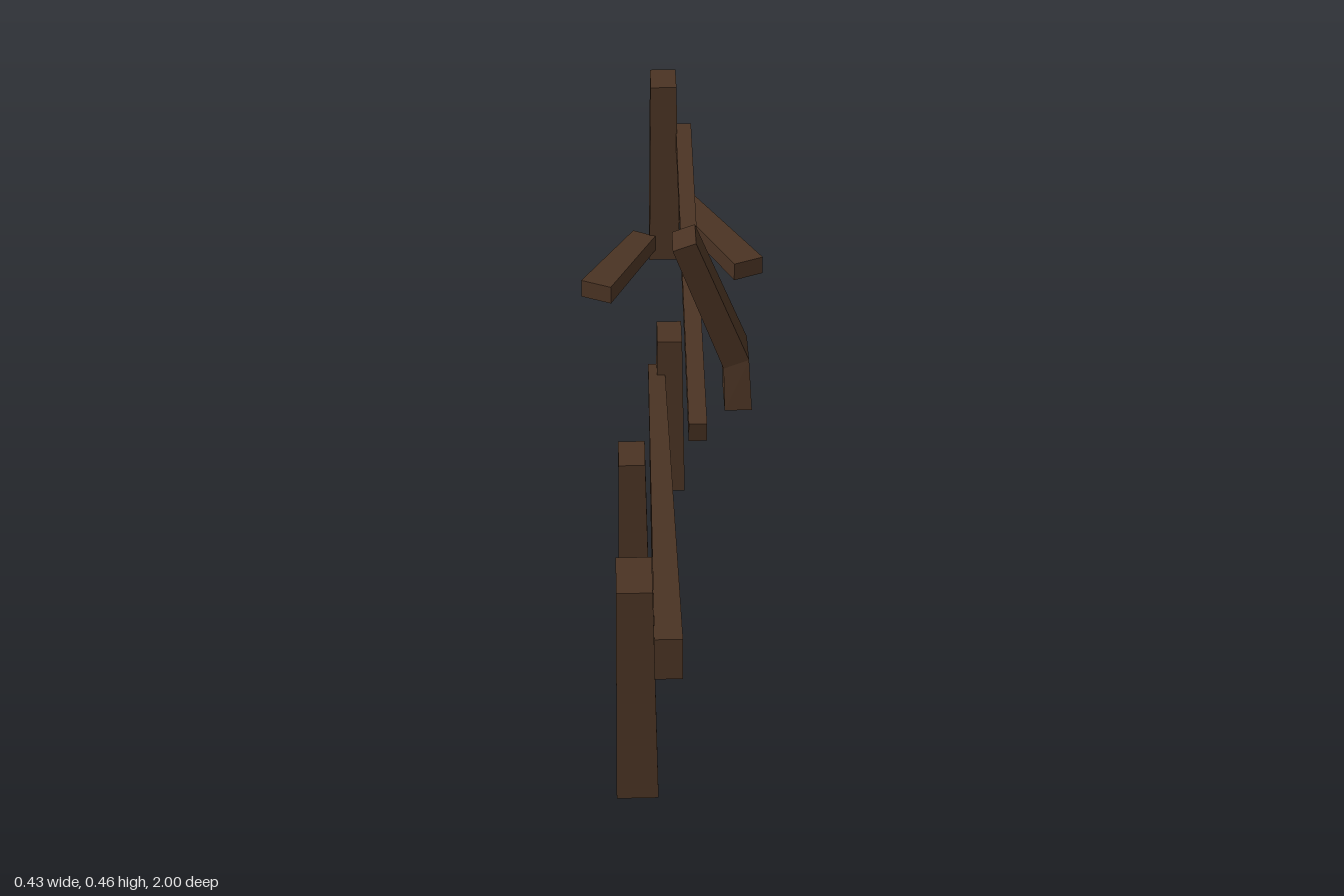
import * as THREE from 'three';

const wood = new THREE.MeshStandardMaterial({ color: 0x4a3323 });
wood.name = 'darkWood';

// Flat-faced beam through four-cornered sections, closed at both ends
function beam(name, rings) {
  const pos = [];
  const quad = (a, b, c, d) => pos.push(...a, ...b, ...c, ...a, ...c, ...d);
  for (let r = 0; r < rings.length - 1; r++) {
    const a = rings[r], b = rings[r + 1];
    for (let i = 0; i < 4; i++) {
      const j = (i + 1) % 4;
      quad(a[i], a[j], b[j], b[i]);
    }
  }
  const first = rings[0], last = rings[rings.length - 1];
  quad(first[3], first[2], first[1], first[0]);
  quad(...last);
  const geo = new THREE.BufferGeometry();
  geo.setAttribute('position', new THREE.Float32BufferAttribute(pos, 3));
  geo.computeVertexNormals();
  const mesh = new THREE.Mesh(geo, wood);
  mesh.name = name;
  return mesh;
}

// Horizontal section of a post; yl and yr allow a slanted cut
const level = (x0, x1, z0, z1, yl, yr = yl) =>
  [[x0, yl, z1], [x1, yr, z1], [x1, yr, z0], [x0, yl, z0]];

// Upright section of a rail; zl and zr allow an angled end, lean tips the top
const upright = (x0, x1, y0, y1, zl, zr = zl, lean = 0) =>
  [[x0, y0, zl], [x1, y0, zr], [x1, y1, zr + lean], [x0, y1, zl + lean]];

// Straight post, narrower at the top
function post(name, x, z, w, d, h) {
  const t = 0.82;
  return beam(name, [
    level(x - w / 2, x + w / 2, z - d / 2, z + d / 2, 0),
    level(x - w * t / 2, x + w * t / 2, z - d * t / 2, z + d * t / 2, h),
  ]);
}

export function createModel() {
  const fence = new THREE.Group();
  fence.name = 'brokenFence';

  // Standing posts
  fence.add(
    post('frontPost', -0.104, 0.945, 0.073, 0.11, 0.463),
    post('secondPost', -0.105, 0.493, 0.06, 0.09, 0.369),
    post('middlePost', -0.026, 0.094, 0.06, 0.09, 0.369),
    post('backPost', -0.018, -0.823, 0.073, 0.112, 0.463),
  );

  // Snapped post, leaning above its foot
  fence.add(beam('brokenPost', [
    level(0.1, 0.16, -0.235, -0.14, 0),
    level(0.097, 0.152, -0.241, -0.15, 0.105, 0.127),
    level(-0.014, 0.034, -0.17, -0.093, 0.441, 0.459),
  ]));

  // Rails, from back to front
  fence.add(
    beam('upperRail', [
      upright(-0.069, -0.036, 0.223, 0.288, 0.09),
      upright(-0.072, -0.024, 0.248, 0.338, 0.965),
    ]),
    beam('lowerRail', [
      upright(-0.068, -0.032, 0.053, 0.095, 0.09),
      upright(-0.071, -0.027, 0.102, 0.162, 0.617, 0.617, 0.008),
    ]),
    beam('slopingRail', [
      upright(0.011, 0.047, 0.306, 0.35, -0.822, -0.822, 0.01),
      upright(0.011, 0.048, 0.148, 0.198, 0.165, 0.165, 0.01),
    ]),
  );

  // Planks fallen beside the back post
  fence.add(
    beam('fallenPlankLeft', [
      upright(-0.016, 0.04, 0.028, 0.068, -0.973, -1),
      upright(0.145, 0.214, 0.025, 0.07, -0.63, -0.66),
    ]),
    beam('fallenPlankRight', [
      upright(-0.093, -0.04, 0.028, 0.068, -0.794, -0.766),
      upright(-0.217, -0.148, 0.025, 0.07, -0.569, -0.537),
    ]),
  );
  return fence;
}
